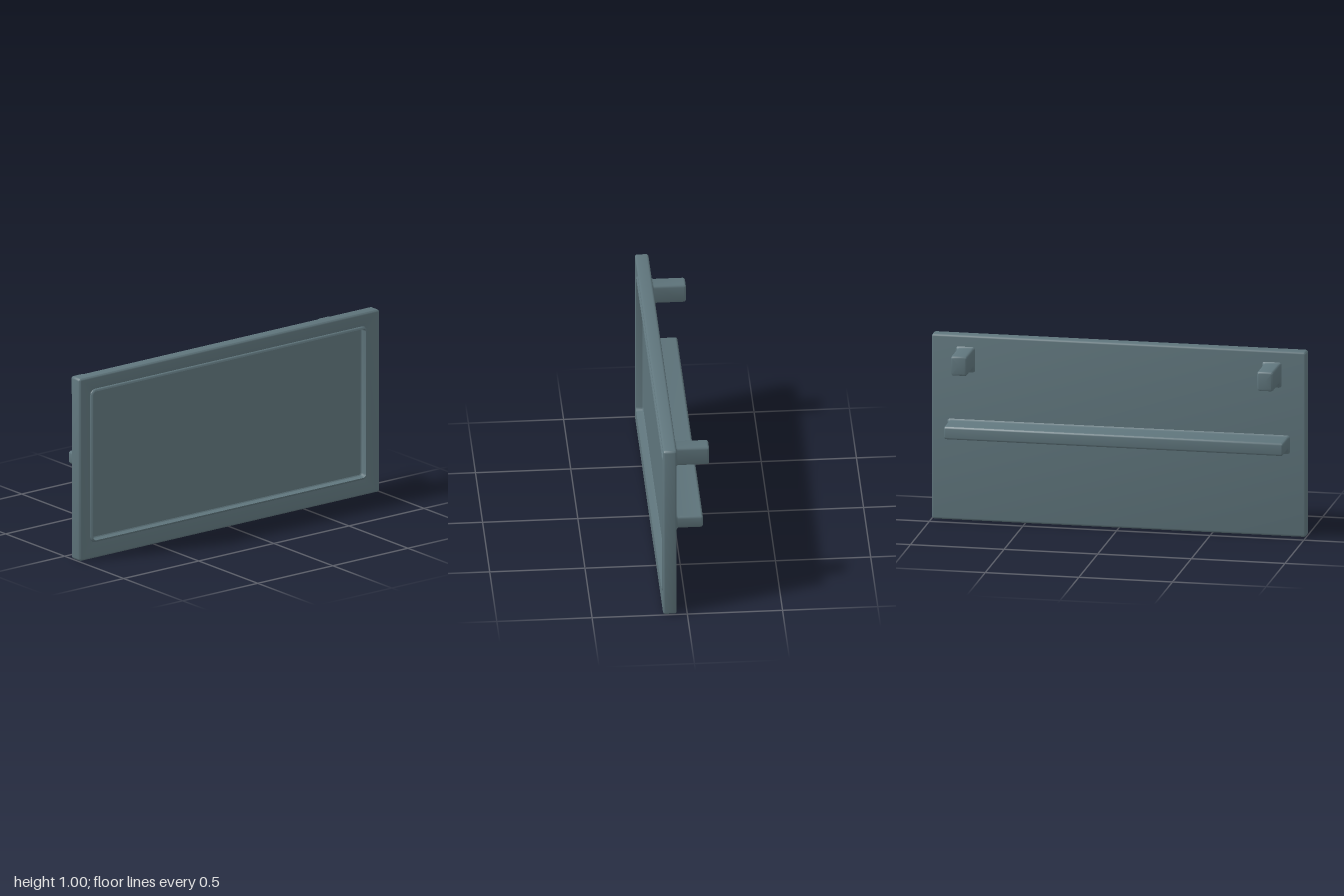
import * as THREE from 'three';
import { toCreasedNormals } from 'three/addons/utils/BufferGeometryUtils.js';

const STEPS = 3; // segments per rounded corner

// Counter-clockwise rounded rectangle, half sizes w and h, centred on (cx, cy)
function ring({ w, h, r, z, cx = 0, cy = 0 }) {
  const pts = [];
  [[1, 1], [-1, 1], [-1, -1], [1, -1]].forEach(([sx, sy], q) => {
    for (let i = 0; i <= STEPS; i++) {
      const a = (q + i / STEPS) * Math.PI / 2;
      pts.push([cx + sx * (w - r) + r * Math.cos(a), cy + sy * (h - r) + r * Math.sin(a), z]);
    }
  });
  return pts;
}

// Skin a series of rings and close both ends with flat caps
function loft(sections) {
  const rings = sections.map(ring);
  const n = rings[0].length;
  const pos = [];
  const tri = (...p) => p.forEach(v => pos.push(...v));
  const centre = s => [s.cx ?? 0, s.cy ?? 0, s.z];
  const first = rings[0], last = rings[rings.length - 1];
  for (let j = 0; j < n; j++) {
    const k = (j + 1) % n;
    tri(centre(sections[0]), first[k], first[j]);
    for (let i = 0; i + 1 < rings.length; i++) {
      const a = rings[i], b = rings[i + 1];
      tri(a[j], a[k], b[k]);
      tri(a[j], b[k], b[j]);
    }
    tri(centre(sections[sections.length - 1]), last[j], last[k]);
  }
  const geo = new THREE.BufferGeometry();
  geo.setAttribute('position', new THREE.Float32BufferAttribute(pos, 3));
  return toCreasedNormals(geo, 0.65);
}

// Inset and depth pairs along a quarter-round edge
const arc = r => Array.from({ length: STEPS + 1 }, (_, i) => {
  const a = i / STEPS * Math.PI / 2;
  return [r * (1 - Math.sin(a)), r * (1 - Math.cos(a))];
});

const BACK = 0.055, FRONT = 0.127, EDGE = 0.012;

// Slab with rounded edges and a shallow recess in its front
function panelGeometry() {
  const outer = (d, z) => ({ w: 1 - d, h: 0.5 - d, r: 0.014 - d, z, cy: 0.5 });
  const inner = (d, z) => ({ w: 0.908 + d, h: 0.408 + d, r: 0.018 + d, z, cy: 0.505 });
  const edge = arc(EDGE);
  return loft([
    ...edge.map(([d, dz]) => outer(d, BACK + dz)),
    ...edge.slice().reverse().map(([d, dz]) => outer(d, FRONT - dz)),
    ...edge.map(([d, dz]) => inner(EDGE - d, FRONT - dz)).sort((a, b) => b.w - a.w),
    inner(-0.003, FRONT - 0.034),
    inner(-0.008, FRONT - 0.038),
  ]);
}

// Bar standing out from the back, rounded at its tip and flared at its root
function barGeometry(cx, cy, w, h, tip) {
  const body = (d, z, drop = 0) => ({ w: w - d, h: h - d + drop, r: 0.014 - Math.max(d, 0), z, cx, cy: cy - drop });
  return loft([
    ...arc(EDGE).map(([d, dz]) => body(d, tip + dz)),
    body(0, BACK - 0.014),
    body(-0.004, BACK - 0.004, 0.004),
    body(-0.011, BACK + 0.003, 0.01),
  ]);
}

export function createModel() {
  const model = new THREE.Group();
  model.name = 'recessedPanel';
  const material = new THREE.MeshStandardMaterial({ color: 0x5f757c });
  const add = (name, geometry) => {
    const mesh = new THREE.Mesh(geometry, material);
    mesh.name = name;
    model.add(mesh);
  };

  add('panel', panelGeometry());
  add('backRail', barGeometry(0, 0.504, 0.907, 0.035, -0.09));
  add('leftBracket', barGeometry(0.818, 0.878, 0.044, 0.053, -0.126));
  add('rightBracket', barGeometry(-0.818, 0.878, 0.044, 0.053, -0.126));
  return model;
}
